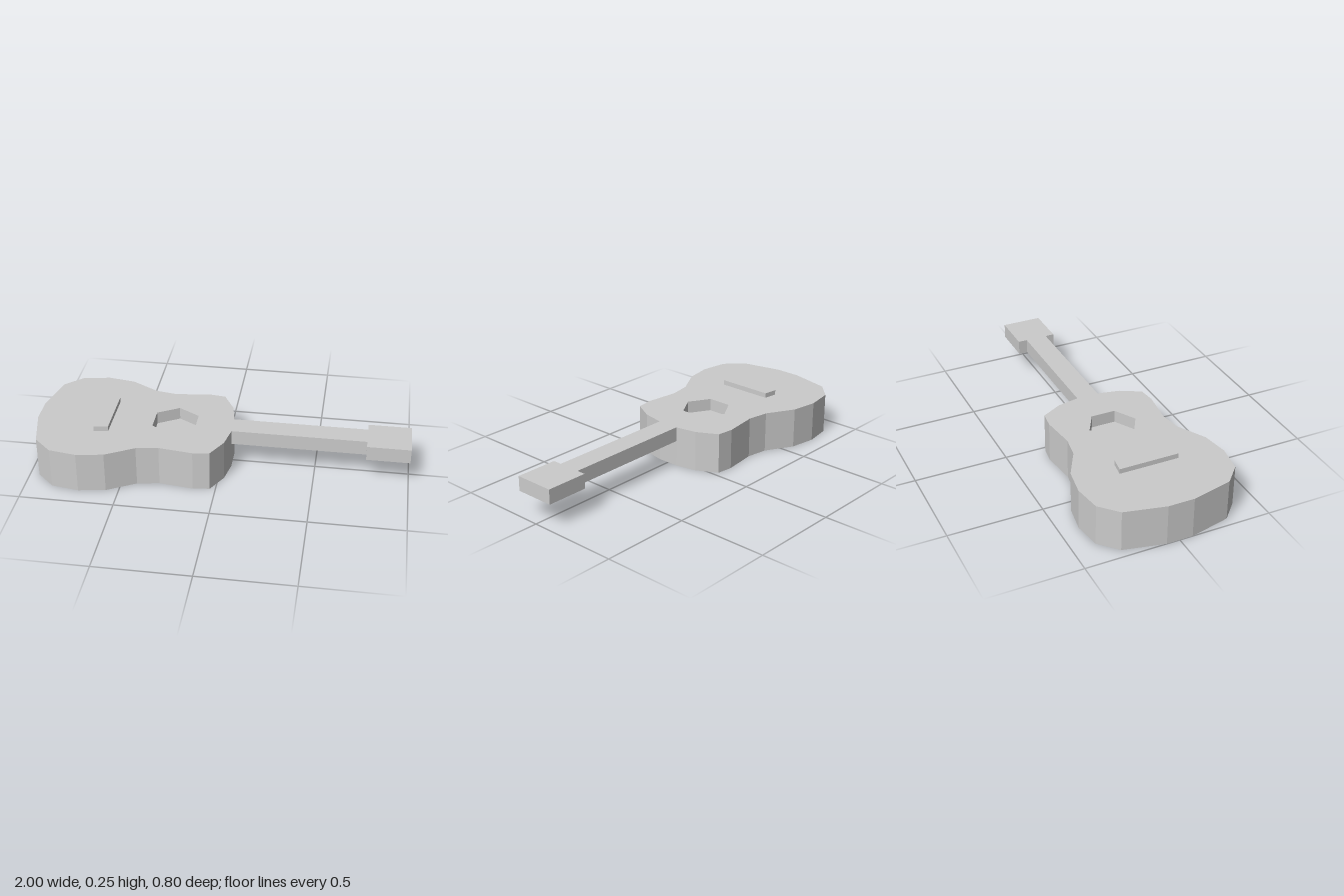
import * as THREE from 'three';

const material = new THREE.MeshStandardMaterial({ color: 0xcccccc, flatShading: true });

// Symmetric outline in the ground plane from one half, listed as [x, z].
function mirrored(half) {
  const other = half.map(([x, z]) => [x, -z]).reverse();
  return [...half, ...other].map(([x, z]) => new THREE.Vector2(x, z));
}

// Flat slab between two heights.
function slab(name, points, bottom, top, hole) {
  const shape = new THREE.Shape(points);
  if (hole) shape.holes.push(new THREE.Path(hole));
  const geometry = new THREE.ExtrudeGeometry(shape, { depth: top - bottom, bevelEnabled: false });
  geometry.rotateX(-Math.PI / 2).translate(0, bottom, 0);
  const mesh = new THREE.Mesh(geometry, material);
  mesh.name = name;
  return mesh;
}

export function createModel() {
  const group = new THREE.Group();
  group.name = 'guitar';
  const deck = 0.223, holeFloor = 0.155, neckBottom = 0.143;

  // Waisted body, with a shallow six-sided sound hole in its upper part
  const outline = mirrored([
    [-1, 0.07], [-0.95, 0.288], [-0.856, 0.377], [-0.71, 0.4], [-0.567, 0.377],
    [-0.417, 0.294], [-0.3, 0.275], [-0.118, 0.298], [-0.03, 0.287], [0.03, 0.177], [0.053, 0.06],
  ]);
  const hole = [];
  for (let i = 0; i < 6; i++) {
    const a = Math.PI / 2 + (i * Math.PI) / 3;
    hole.push(new THREE.Vector2(-0.258 + 0.132 * Math.cos(a), 0.132 * Math.sin(a)));
  }
  group.add(slab('bodyBack', outline, 0, holeFloor));
  group.add(slab('bodyTop', outline, holeFloor, deck, hole));

  // Slightly tapered bridge
  group.add(slab('bridge', mirrored([[-0.67, 0.162], [-0.594, 0.152]]), deck, 0.25));

  // Neck and wider headstock, flush with the body top
  group.add(slab('neck', mirrored([[0.05, 0.06], [0.77, 0.06]]), neckBottom, deck));
  group.add(slab('headstock', mirrored([[0.77, 0.109], [1, 0.109]]), neckBottom, deck));

  return group;
}
